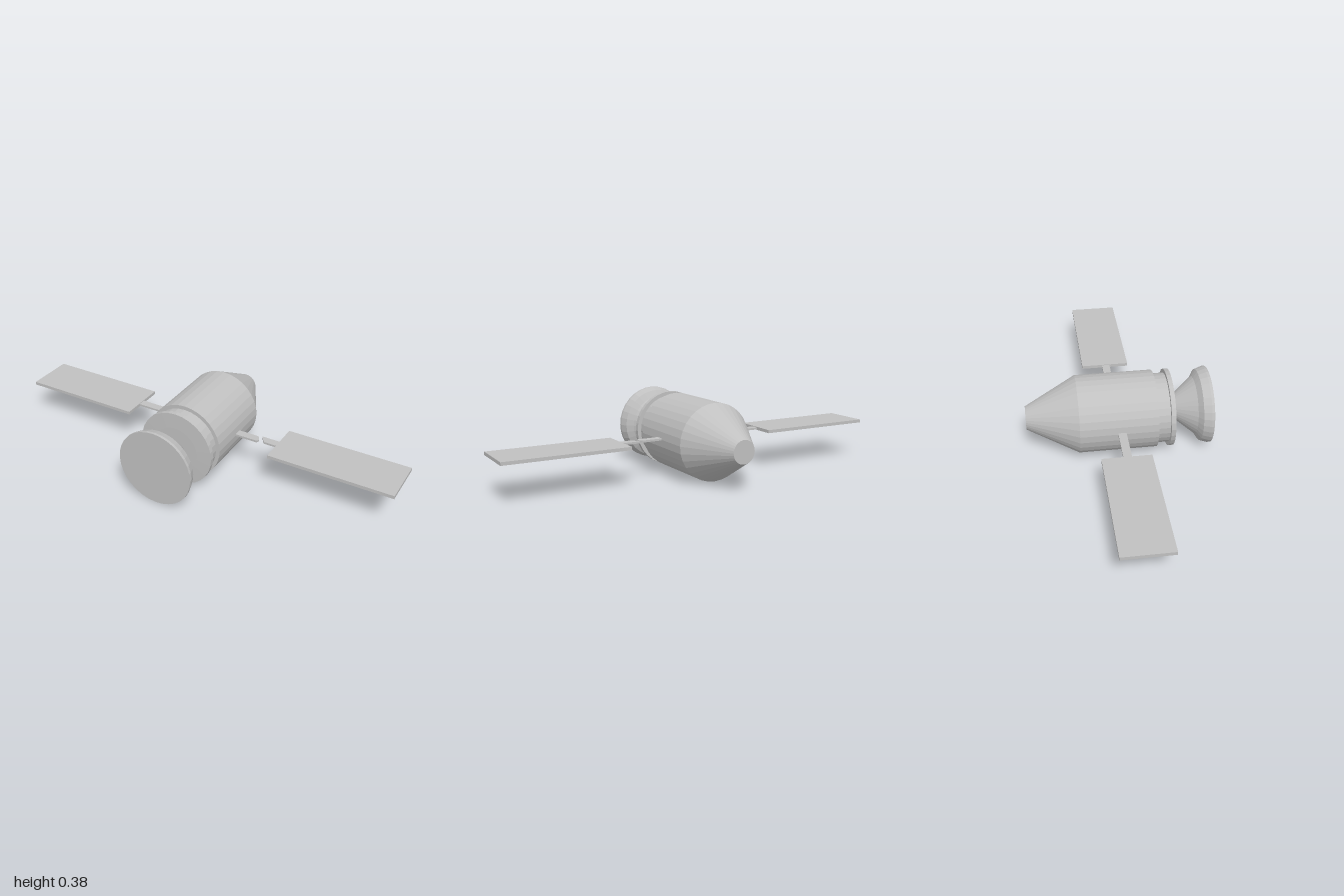
import * as THREE from 'three';

export function createModel() {
  const model = new THREE.Group();
  const grey = new THREE.MeshStandardMaterial({ color: 0xc0c0c0, flatShading: true });
  grey.name = 'hull grey';
  const axisX = -0.02, axisY = 0.192;

  function add(name, geometry) {
    const mesh = new THREE.Mesh(geometry, grey);
    mesh.name = name;
    model.add(mesh);
  }

  // Round part on the hull axis, from [radius, z] pairs running back to front
  function turned(name, profile) {
    const points = profile.map(([r, z]) => new THREE.Vector2(r, z));
    add(name, new THREE.LatheGeometry(points, 32).rotateX(Math.PI / 2).translate(axisX, axisY, 0));
  }

  // Flat part from an outline of [x, z] corners
  function plate(name, corners, thickness) {
    const shape = new THREE.Shape(corners.map(([x, z]) => new THREE.Vector2(x, z)));
    const geometry = new THREE.ExtrudeGeometry(shape, { depth: thickness, bevelEnabled: false });
    add(name, geometry.rotateX(Math.PI / 2).translate(0, 0.194 + thickness / 2, 0));
  }

  const rect = (x0, x1, z0, z1) => [[x0, z0], [x1, z0], [x1, z1], [x0, z1]];

  // Hull: nose cone, cylinder, recessed neck and end flange
  turned('hull', [
    [0, -0.45], [0.057, -0.45], [0.191, -0.2], [0.191, 0.18], [0.172, 0.18],
    [0.172, 0.24], [0.191, 0.24], [0.191, 0.262], [0.115, 0.265], [0, 0.265],
  ]);

  // Closed bell with a flared rim
  turned('engineBell', [
    [0, 0.262], [0.044, 0.262], [0.145, 0.38], [0.178, 0.4],
    [0.191, 0.437], [0.191, 0.45], [0, 0.45],
  ]);

  // Solar panels
  plate('rightPanel', rect(-1, -0.39, -0.121, 0.115), 0.016);
  plate('leftPanel', rect(0.385, 1, -0.132, 0.109), 0.016);

  // Booms, the left one snapped in two
  plate('rightBoom', rect(-0.39, -0.15, -0.019, 0.021), 0.01);
  plate('leftBoomStub', [[0.12, -0.019], [0.275, -0.019], [0.291, 0.006], [0.285, 0.021], [0.12, 0.021]], 0.01);
  plate('leftBoomEnd', [[0.292, -0.027], [0.385, -0.027], [0.385, 0.013], [0.318, 0.013]], 0.01);

  return model;
}
